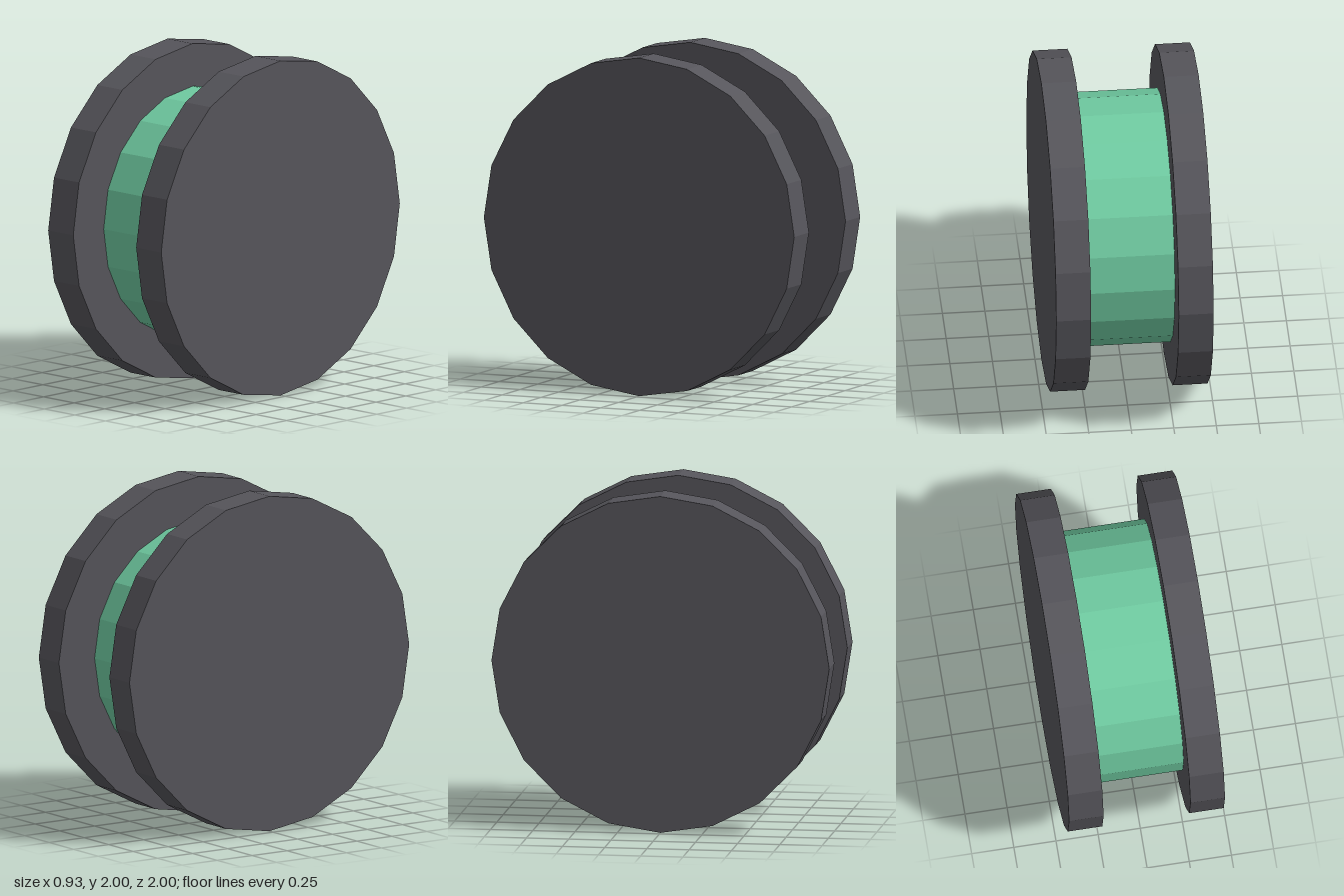
import * as THREE from 'three';

const SIDES = 20;

// Disc lying on the x axis, centred at height 1
function disc(name, radius, width, x, material) {
  const geometry = new THREE.CylinderGeometry(radius, radius, width, SIDES);
  geometry.rotateZ(Math.PI / 2);
  const mesh = new THREE.Mesh(geometry, material);
  mesh.name = name;
  mesh.position.set(x, 1, 0);
  return mesh;
}

export function createModel() {
  const group = new THREE.Group();
  group.name = 'spool';
  const dark = new THREE.MeshStandardMaterial({ color: 0x56555b, flatShading: true });
  const green = new THREE.MeshStandardMaterial({ color: 0x70cca2, flatShading: true });

  // Central drum between the two flanges
  group.add(disc('drum', 0.745, 0.515, 0, green));

  // Mirrored outer flanges
  for (const [name, side] of [['leftFlange', 1], ['rightFlange', -1]]) {
    group.add(disc(name, 1, 0.205, side * 0.36, dark));
  }
  return group;
}
